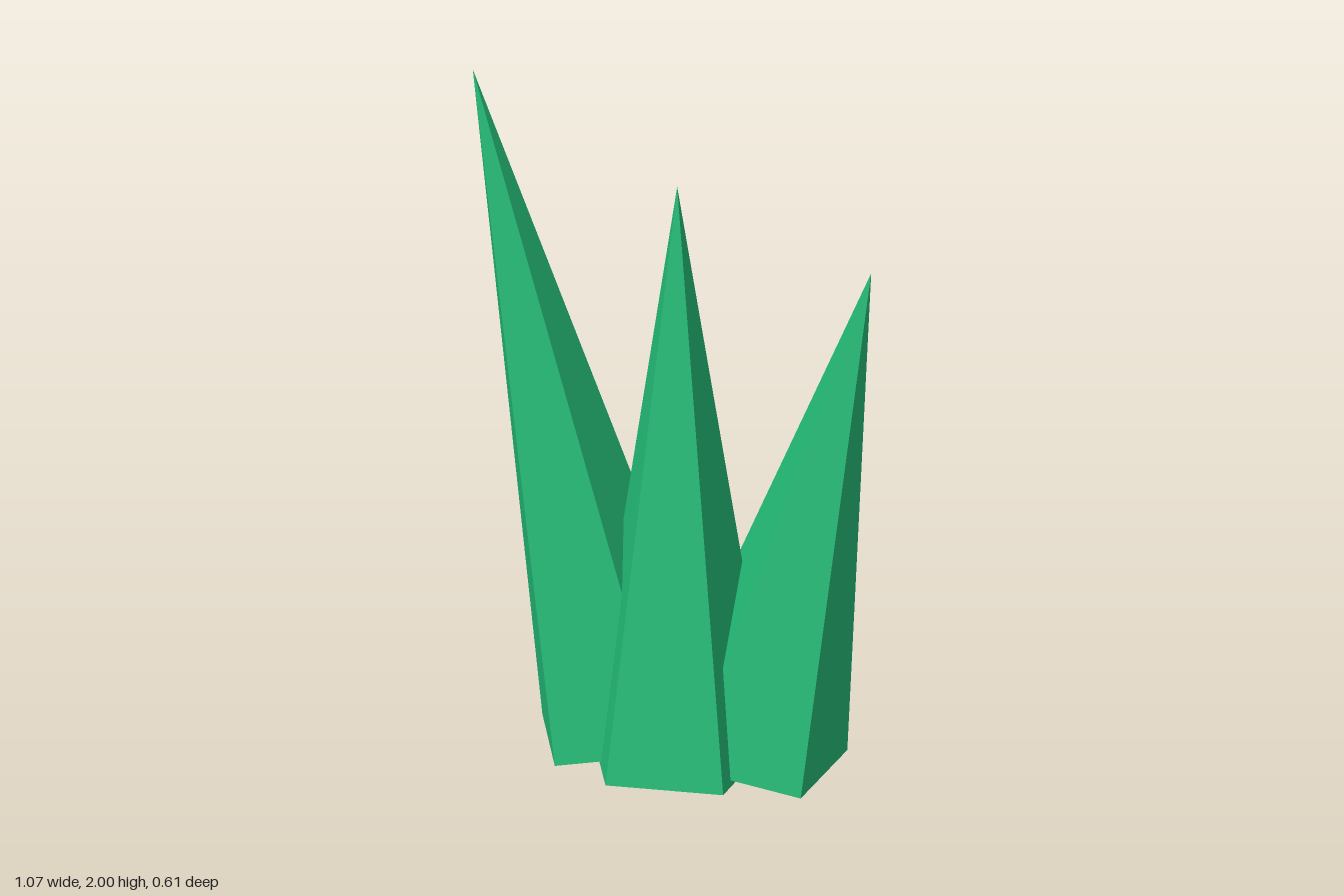
import * as THREE from 'three';

// One five-sided crystal spike, leaning sideways about the centre of its base
function makeSpike(name, material, { base, height, lean }) {
  const geometry = new THREE.ConeGeometry(0.283, height, 5);
  geometry.rotateY(Math.PI); // flat side to the front, one corner to the back
  geometry.translate(0, height / 2, 0);
  const flat = geometry.toNonIndexed();
  flat.computeVertexNormals();
  const spike = new THREE.Mesh(flat, material);
  spike.name = name;
  spike.position.set(...base);
  spike.rotation.z = lean;
  return spike;
}

export function createModel() {
  const model = new THREE.Group();
  model.name = 'crystalCluster';

  const emerald = new THREE.MeshStandardMaterial({ color: 0x24bb77 });
  emerald.name = 'emerald green';
  emerald.flatShading = true;

  model.add(
    makeSpike('middleSpike', emerald, { base: [0.023, 0.043, 0.076], height: 1.695, lean: 0 }),
    makeSpike('tallRightSpike', emerald, { base: [-0.145, 0.064, -0.024], height: 1.975, lean: 0.2 }),
    makeSpike('shortLeftSpike', emerald, { base: [0.238, 0.055, 0.026], height: 1.483, lean: -0.2 }),
  );
  return model;
}
